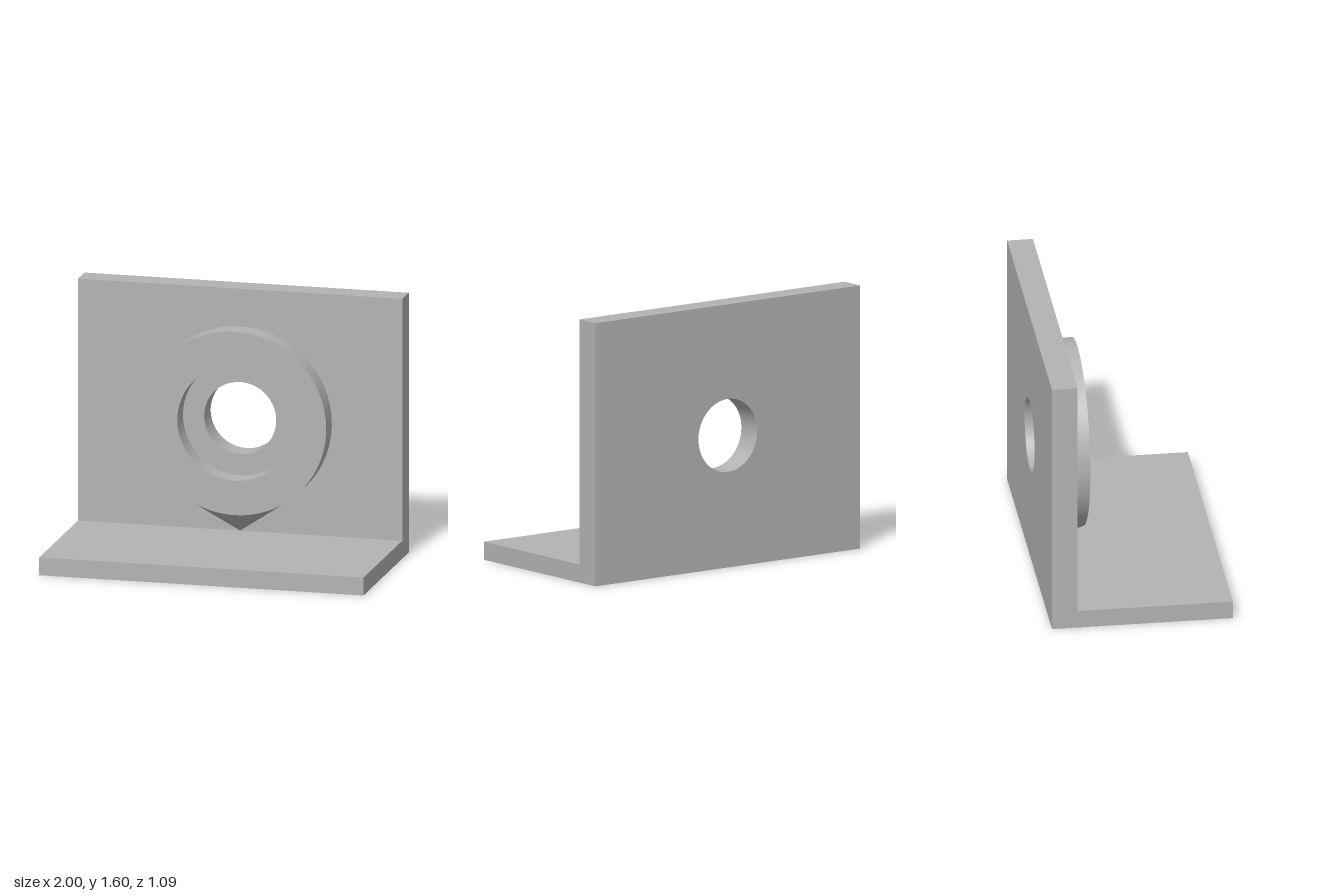
import * as THREE from 'three';
import { toCreasedNormals } from 'three/addons/utils/BufferGeometryUtils.js';

const WALL_BACK = -0.545, WALL_FRONT = -0.39, BOSS_FRONT = -0.255, DEPTH = 0.545;
const BASE_H = 0.11, HEIGHT = 1.6, CENTRE_Y = 0.803;
const BOSS_R = 0.565, POCKET_R = 0.353, BORE_R = 0.222;

// Extrudes a shape between two z planes
function extrude(shape, z0, z1) {
  const g = new THREE.ExtrudeGeometry(shape, { depth: z1 - z0, bevelEnabled: false, curveSegments: 48 });
  return g.translate(0, 0, z0);
}

// Points along an arc around the bore axis
function arc(r, from, to, n) {
  return Array.from({ length: n + 1 }, (_, i) => {
    const a = from + (to - from) * i / n;
    return new THREE.Vector2(r * Math.cos(a), CENTRE_Y + r * Math.sin(a));
  });
}

export function createModel() {
  const group = new THREE.Group();
  group.name = 'bracket';
  const grey = new THREE.MeshStandardMaterial({ color: 0xb3b3b3 });
  grey.name = 'plain grey';
  const add = (name, geometry) => {
    const mesh = new THREE.Mesh(geometry, grey);
    mesh.name = name;
    group.add(mesh);
  };

  // Upright wall with a round bore
  const wall = new THREE.Shape([[-1, 0], [1, 0], [1, HEIGHT], [-1, HEIGHT]].map(p => new THREE.Vector2(...p)));
  wall.holes.push(new THREE.Path().absarc(0, CENTRE_Y, BORE_R, 0, Math.PI * 2, true));
  add('wall', toCreasedNormals(extrude(wall, WALL_BACK, WALL_FRONT), 0.5));

  // Base plate
  const base = new THREE.BoxGeometry(2, BASE_H, DEPTH - WALL_FRONT);
  base.translate(0, BASE_H / 2, (DEPTH + WALL_FRONT) / 2);
  add('basePlate', base);

  // Round boss with a teardrop pocket, split where the lower support meets it tangentially
  const tangent = Math.acos(BOSS_R / (CENTRE_Y - BASE_H));
  const down = -Math.PI / 2;
  const upper = arc(BOSS_R, down + tangent, down + 2 * Math.PI - tangent, 76);
  const lower = arc(BOSS_R, down - tangent, down + tangent, 24).slice(1, -1);
  const boss = new THREE.Shape([...upper, ...lower]);
  const teardrop = arc(POCKET_R, Math.PI * 0.75, Math.PI * 2.25, 72);
  teardrop.push(new THREE.Vector2(0, CENTRE_Y + POCKET_R * Math.SQRT2));
  boss.holes.push(new THREE.Path(teardrop.reverse()));
  const bossGeometry = extrude(boss, WALL_FRONT, BOSS_FRONT);

  // Gather the lower rear rim into one tip, making the sloping support
  const pos = bossGeometry.attributes.position;
  const tangentY = CENTRE_Y - BOSS_R * Math.cos(tangent);
  for (let i = 0; i < pos.count; i++) {
    const rear = pos.getZ(i) < (WALL_FRONT + BOSS_FRONT) / 2;
    if (rear && pos.getY(i) < tangentY - 0.001) pos.setXYZ(i, 0, BASE_H, WALL_FRONT);
  }
  add('boss', toCreasedNormals(bossGeometry, 0.5));

  return group;
}
